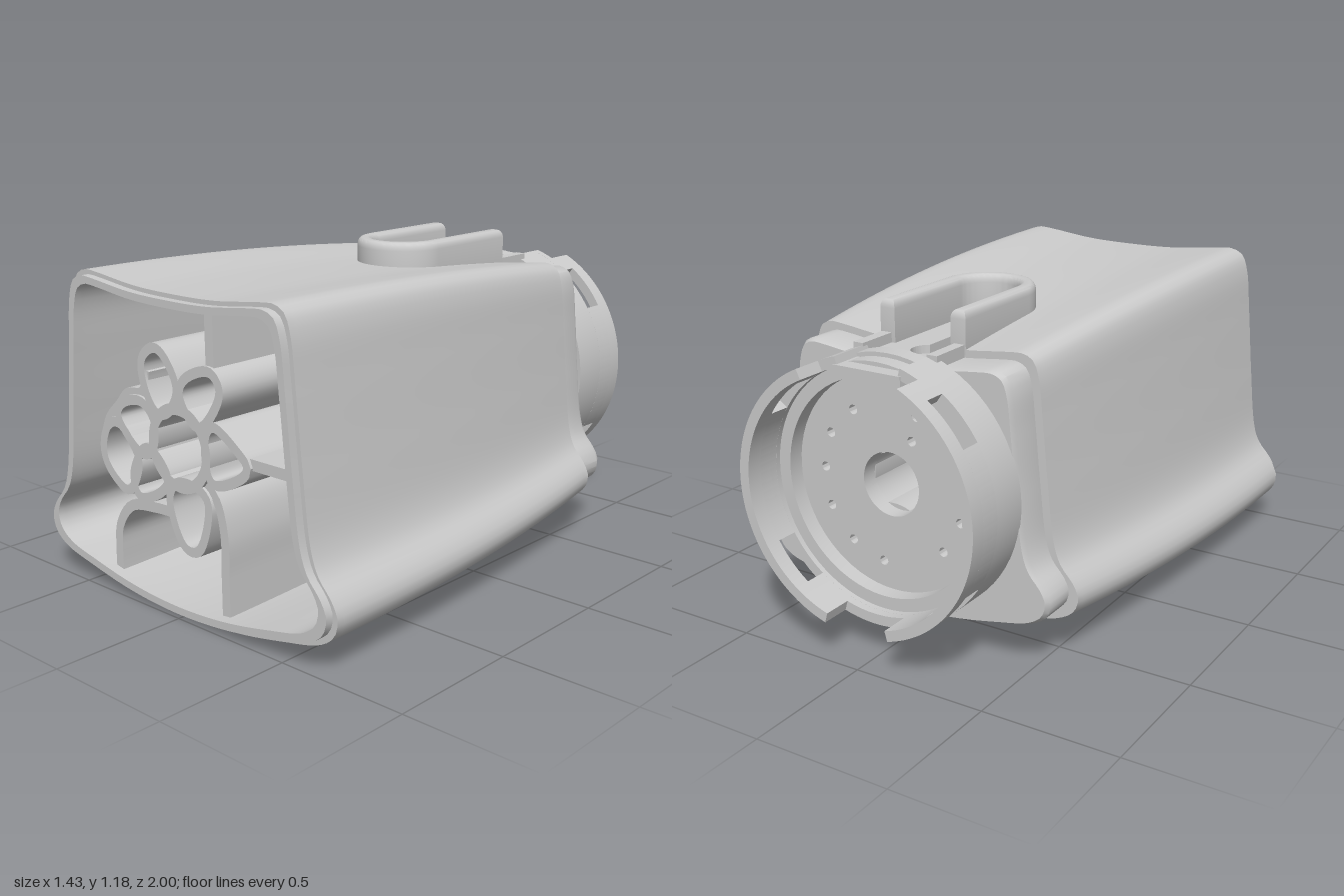
import * as THREE from 'three';
import { toCreasedNormals } from 'three/addons/utils/BufferGeometryUtils.js';

const V2 = (x, y) => new THREE.Vector2(x, y);
const CY = 0.575; // height about which the housing tapers
const HUB = 0.6;  // height of the round axis
const DEG = Math.PI / 180;

// Right half of the housing outline, bottom centre to top centre
const half = [[0, 0], [0.25, 0.015], [0.48, 0.055], [0.64, 0.095], [0.70, 0.14], [0.715, 0.20], [0.69, 0.255],
  [0.635, 0.32], [0.605, 0.40], [0.575, 0.64], [0.55, 0.9], [0.53, 1.07], [0.505, 1.13], [0.46, 1.15],
  [0.40, 1.147], [0.2, 1.125], [0, 1.12]];

function closedCurve(points, n) {
  const c = new THREE.CatmullRomCurve3(points.map(([x, y]) => new THREE.Vector3(x, y, 0)), true, 'centripetal');
  return c.getSpacedPoints(n).slice(0, n).map(p => V2(p.x, p.y));
}
const mirrored = half.slice(1, -1).reverse().map(([x, y]) => [-x, y]);
const outline = closedCurve([...half, ...mirrored], 160);
const scaled = s => outline.map(p => V2(p.x * s, CY + (p.y - CY) * s));

// Taper of the outer skin along z
const taper = z => 1 - 0.14 * Math.pow(Math.min(1, Math.max(0, (0.97 - z) / 1.55)), 2.1);

export function createModel() {
  const group = new THREE.Group();
  const mat = new THREE.MeshStandardMaterial({ color: 0xcccccc, side: THREE.DoubleSide });
  const add = (name, geo) => {
    const m = new THREE.Mesh(toCreasedNormals(geo, 0.6), mat);
    m.name = name;
    group.add(m);
    return m;
  };
  // Extrusion along z between two depths
  const prism = (shape, z0, z1, steps = 1) => new THREE.ExtrudeGeometry(shape,
    { depth: z1 - z0, bevelEnabled: false, curveSegments: 32, steps }).translate(0, 0, z0);
  // Extrusion of an (x, z) shape downward from yTop
  const slab = (shape, yTop, depth) => new THREE.ExtrudeGeometry(shape,
    { depth, bevelEnabled: false, curveSegments: 16 }).rotateX(Math.PI / 2).translate(0, yTop, 0);
  const circle = (x, y, r) => new THREE.Path().absarc(x, y, r, 0, Math.PI * 2, false);
  const ring = (r0, r1) => {
    const s = new THREE.Shape().absarc(0, HUB, r1, 0, Math.PI * 2, false);
    s.holes.push(circle(0, HUB, r0));
    return s;
  };
  const box = (name, x0, x1, y0, y1, z0, z1) => add(name, new THREE.BoxGeometry(x1 - x0, y1 - y0, z1 - z0)
    .translate((x0 + x1) / 2, (y0 + y1) / 2, (z0 + z1) / 2));

  // Housing: neck, outer skin, front lip and inner skin in one loft of [z, scale]
  const rows = [[-0.72, 0.795], [-0.70, 0.81], [-0.58, 0.81]];
  for (let i = 0; i <= 50; i++) {
    const z = -0.58 + 1.55 * i / 50;
    rows.push([z, taper(z)]);
  }
  rows.push([0.97, 0.972], [1, 0.972], [1, 0.925]);
  for (let i = 1; i <= 50; i++) {
    const z = 1 - 1.58 * i / 50;
    rows.push([z, 0.925 - 0.108 * Math.pow(i / 50, 1.3)]);
  }
  rows.push([-0.58, 0.75], [-0.62, 0.745]);
  const pos = [], idx = [], n = outline.length;
  for (const [z, s] of rows) for (const p of scaled(s)) pos.push(p.x, p.y, z);
  // Opening in the roof under the channel
  const open = (a, c) => {
    const x = (pos[a * 3] + pos[c * 3]) / 2, z = (pos[a * 3 + 2] + pos[c * 3 + 2]) / 2;
    return pos[a * 3 + 1] > 0.9 && Math.hypot(x, Math.max(0, z + 0.175)) < 0.142;
  };
  for (let i = 0; i < rows.length - 1; i++) {
    for (let j = 0; j < n; j++) {
      const k = (j + 1) % n, a = i * n + j, b = i * n + k, c = b + n, d = a + n;
      if (!open(a, c)) idx.push(a, b, c, a, c, d);
    }
  }
  const shell = new THREE.BufferGeometry();
  shell.setAttribute('position', new THREE.Float32BufferAttribute(pos, 3));
  shell.setIndex(idx);
  add('housing', shell);

  // Floor between housing and barrel
  const floor = new THREE.Shape(scaled(0.795));
  floor.holes.push(circle(0, HUB, 0.32));
  add('innerFloor', prism(floor, -0.72, -0.595));

  // Round end plate with its screw holes
  const plate = ring(0.115, 0.46);
  const screwHoles = [[-11, 26], [-9, 17], [-22, 18], [-28, 6], [-28, -8], [-21, -20], [4, -29], [17, -24],
    [26, -13], [28, 1], [25, 14], [15, 24]];
  for (const [x, y] of screwHoles) plate.holes.push(circle(x / 100, HUB + y / 100, 0.017));
  add('endPlate', prism(plate, -0.78, -0.715));
  add('plateStep', prism(ring(0.39, 0.445), -0.84, -0.78));
  add('hub', prism(ring(0.115, 0.155), -0.78, 0.97));

  // Barrel in bands, with windows and end notches as angular gaps
  const windows = [[32, 55], [125, 148], [212, 235], [305, 328]];
  const channel = [74, 106], topNotch = [65, 115], lowNotch = [254, 286];
  const bands = [
    [-0.86, -0.715, [channel]],
    [-0.89, -0.86, [channel, ...windows]],
    [-0.94, -0.89, [topNotch, lowNotch, ...windows]],
    [-1, -0.94, [topNotch, lowNotch]],
  ];
  for (const [z0, z1, gaps] of bands) {
    gaps.sort((a, b) => a[0] - b[0]);
    gaps.forEach((g, i) => {
      const a0 = g[1] * DEG;
      const a1 = (i + 1 < gaps.length ? gaps[i + 1][0] : gaps[0][0] + 360) * DEG;
      const s = new THREE.Shape().absarc(0, HUB, 0.475, a0, a1, false);
      s.absarc(0, HUB, 0.437, a1, a0, true);
      add('barrelWall', prism(s, z0, z1));
    });
  }

  // Petal-shaped pockets around the hub (hundredths, relative to the axis)
  const pockets = [
    [[-11, 31], [-16, 27], [-15, 19], [-10, 12], [-6, 13], [-2, 20], [-7, 29]],
    [[16, 27], [5, 23], [3, 19], [9, 11], [12, 12], [19, 23]],
    [[17, 9], [15, 6], [15, -3], [17, -7], [28, -3], [31, 0], [28, 3]],
    [[-1, -14], [-4, -19], [2, -33], [7, -33], [12, -17], [9, -14]],
    [[-21, -20], [-11, -16], [-8, -12], [-13, -6], [-17, -5], [-23, -15]],
    [[-30, 6], [-19, -4], [-15, -2], [-14, 6], [-19, 11], [-28, 9]],
    [[-39, -7], [-38, -12], [-33, -17], [-28, -19], [-23, -10], [-24, -7], [-32, 1], [-36, 0]],
  ];
  const toWorld = ([x, y]) => [x / 100, HUB + y / 100];
  for (const p of pockets) {
    const inner = closedCurve(p.map(toWorld), 48);
    const outer = inner.map((q, i) => {
      const t = inner[(i + 1) % 48].clone().sub(inner[(i + 47) % 48]).normalize();
      return V2(q.x + t.y * 0.035, q.y - t.x * 0.035);
    });
    const s = new THREE.Shape(outer);
    s.holes.push(new THREE.Path(inner));
    add('pocketWall', prism(s, -0.72, 0.97));
  }

  // Ribs, trimmed to the tapering housing wall
  const ribs = [
    [[15.5, 28], [15.5, 40], [15.5, 56]],
    [[31, 1.5], [42, 1.5], [58, 1.5]],
    [[12, -10], [17, -15], [20, -26], [20, -40], [20, -60]],
    [[-5, -24], [-15, -24.5], [-28, -27], [-35, -36], [-36, -45], [-36, -60]],
    [[-32, 9], [-27, 14], [-19, 16], [-17, 24]],
    [[-41, -4], [-38, 3], [-32, 9]],
  ];
  for (const r of ribs) {
    const line = new THREE.CatmullRomCurve3(r.map(toWorld).map(([x, y]) => new THREE.Vector3(x, y, 0)));
    const left = [], right = [];
    for (let i = 0; i <= 24; i++) {
      const p = line.getPointAt(i / 24), t = line.getTangentAt(i / 24);
      left.push(V2(p.x - t.y * 0.019, p.y + t.x * 0.019));
      right.unshift(V2(p.x + t.y * 0.019, p.y - t.x * 0.019));
    }
    const geo = prism(new THREE.Shape([...left, ...right]), -0.58, 0.96, 12);
    const a = geo.attributes.position;
    for (let i = 0; i < a.count; i++) {
      const s = taper(a.getZ(i));
      a.setX(i, Math.min(a.getX(i), 0.55 * s));
      a.setY(i, Math.min(Math.max(a.getY(i), CY - 0.54 * s), CY + 0.53 * s));
    }
    add('rib', geo);
  }

  // Raised U-shaped rail on the roof, its edge rounded
  const rail = new THREE.Shape();
  rail.moveTo(0.155, -0.56).lineTo(0.155, -0.175);
  rail.absarc(0, -0.175, 0.155, 0, Math.PI, false);
  rail.lineTo(-0.155, -0.56).lineTo(-0.135, -0.56).lineTo(-0.135, -0.175);
  rail.absarc(0, -0.175, 0.135, Math.PI, 0, true);
  rail.lineTo(0.135, -0.56);
  add('rail', new THREE.ExtrudeGeometry(rail, {
    depth: 0.12, bevelSize: 0.02, bevelThickness: 0.03, bevelSegments: 4, curveSegments: 24,
  }).rotateX(Math.PI / 2).translate(0, 1.15, 0));
  for (const s of [-0.15, 0.15]) box('channelSide', s - 0.02, s + 0.02, 0.97, 1.065, -0.74, -0.58);

  // Channel floor with a keyed slot
  const deck = new THREE.Shape();
  deck.moveTo(-0.135, -0.895).lineTo(0.135, -0.895).lineTo(0.135, -0.175);
  deck.absarc(0, -0.175, 0.135, 0, Math.PI, false);
  const slot = new THREE.Path();
  slot.moveTo(-0.06, -0.78).lineTo(0.05, -0.78).lineTo(0.05, -0.71).lineTo(0.0, -0.66);
  slot.absarc(-0.03, -0.59, 0.06, -1.05, 1.05, false);
  slot.lineTo(0, -0.24);
  slot.absarc(0.02, -0.18, 0.055, 1.9 - Math.PI, Math.PI, false);
  slot.lineTo(-0.06, -0.24).lineTo(-0.06, -0.7);
  deck.holes.push(slot);
  add('channelFloor', slab(deck, 1.03, 0.035));

  // Trough below the slot, with small screw holes
  const base = new THREE.Shape([V2(-0.075, -0.8), V2(0.075, -0.8), V2(0.075, -0.11), V2(-0.075, -0.11)]);
  for (const [x, z] of [[-0.03, -0.59], [-0.03, -0.48], [-0.03, -0.26], [0.02, -0.175]]) {
    base.holes.push(circle(x, z, 0.016));
  }
  add('slotBottom', slab(base, 1.0, 0.03));
  const trough = new THREE.Shape().absarc(0, 0.945, 0.073, Math.PI, Math.PI * 2, false);
  trough.lineTo(0.073, 0.98).lineTo(-0.073, 0.98);
  add('trough', prism(trough, -0.6, -0.11));

  return group;
}
